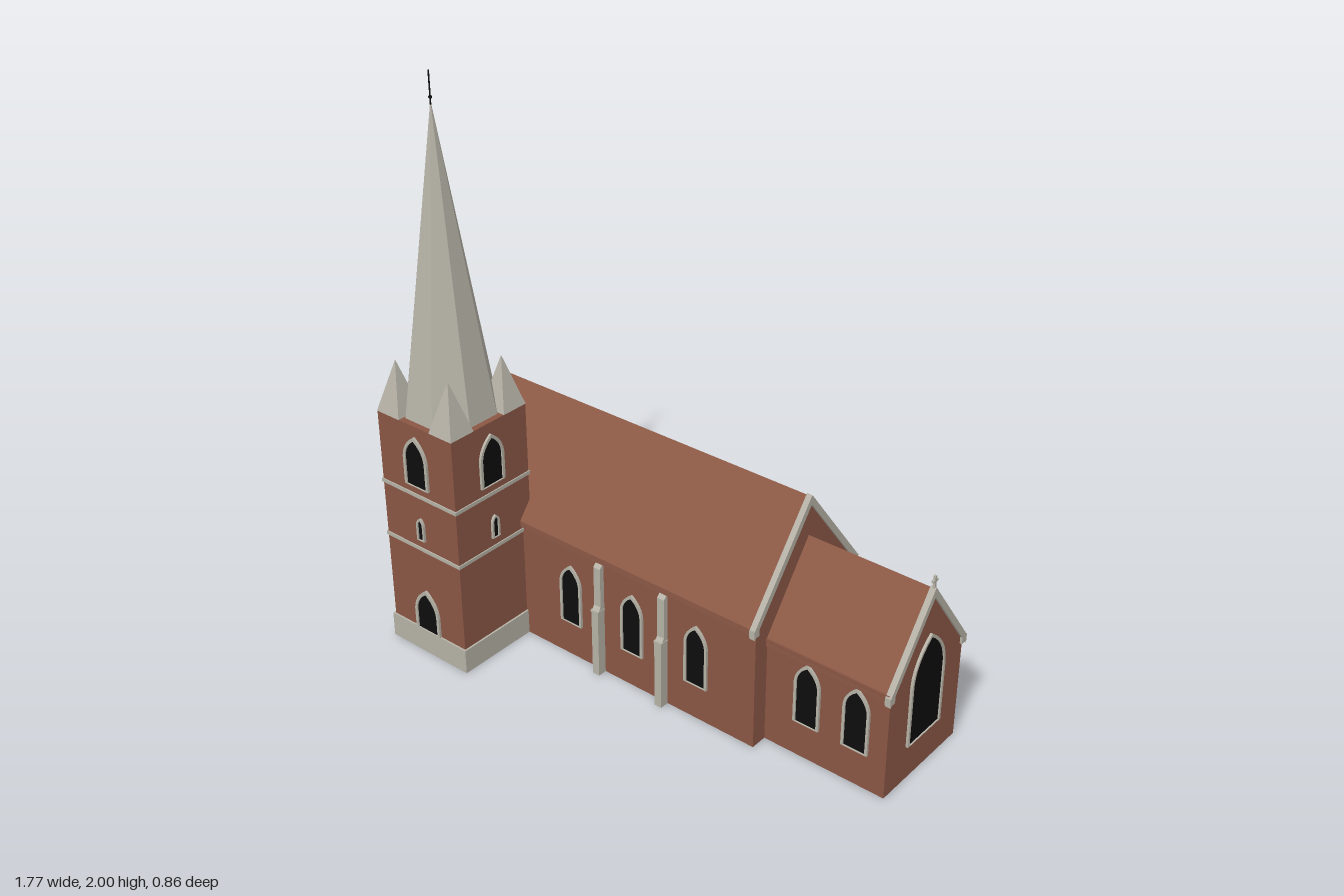
import * as THREE from 'three';

const paint = (name, color) => {
  const m = new THREE.MeshStandardMaterial({ color });
  m.name = name;
  return m;
};

export function createModel() {
  const brick = paint('brick', 0x8a5644);
  const tile = paint('roof tile', 0x8b5946);
  const stone = paint('pale stone', 0xb5b1a6);
  const glass = paint('dark opening', 0x0d0d0d);

  const church = new THREE.Group();
  church.name = 'church';
  const AXIS = -0.135; // z of the ridge line

  function add(name, geo, mat, x = 0, y = 0, z = 0, parent = church) {
    const m = new THREE.Mesh(geo, mat);
    m.name = name;
    m.position.set(x, y, z);
    parent.add(m);
    return m;
  }
  const box = (w, h, d) => new THREE.BoxGeometry(w, h, d);
  const flat = (geo) => {
    const g = geo.toNonIndexed();
    g.computeVertexNormals();
    return g;
  };
  const extrude = (shape, depth) =>
    new THREE.ExtrudeGeometry(shape, { depth, bevelEnabled: false, curveSegments: 6 });
  const polygon = (pts) => new THREE.Shape(pts.map((p) => new THREE.Vector2(...p)));
  // extrude a (z, y) cross-section from x0 to x1
  const alongX = (pts, x0, x1) =>
    extrude(polygon(pts), x1 - x0).rotateY(Math.PI / 2).translate(x0, 0, AXIS);

  // pointed arch outline standing on y = base
  function arch(w, h, base = 0) {
    const spring = Math.max(h - w * 1.6, h * 0.35);
    const s = new THREE.Shape();
    s.moveTo(-w, base);
    s.lineTo(w, base);
    s.lineTo(w, spring);
    s.quadraticCurveTo(w * 0.92, spring + (h - spring) * 0.6, 0, h);
    s.quadraticCurveTo(-w * 0.92, spring + (h - spring) * 0.6, -w, spring);
    return s;
  }

  // arched opening with stone surround, facing +z before turning
  function opening(name, w, h, x, y, z, turn, rim = 0.009) {
    const g = new THREE.Group();
    g.name = name;
    const ring = arch(w, h);
    ring.holes.push(arch(w - rim, h - rim * 1.4, 0.002));
    add('surround', extrude(ring, 0.009), stone, 0, 0, 0, g);
    add('pane', extrude(arch(w - rim, h - rim * 1.4, 0.002), 0.004), glass, 0, 0, 0, g);
    g.position.set(x, y, z);
    g.rotation.y = turn;
    church.add(g);
  }

  // gabled block: brick walls and a thin pitched roof
  function hall(name, x0, x1, wall, eave, half, ridge) {
    const slope = (ridge - eave) / half;
    const t = 0.022;
    const top = ridge - t - slope * wall;
    add(name + 'Walls', alongX([[-wall, 0], [wall, 0], [wall, top], [0, ridge - t], [-wall, top]], x0, x1), brick);
    const chevron = (r, hw, thick) => [
      [-hw, r - slope * hw], [-hw, r - slope * hw - thick], [0, r - thick],
      [hw, r - slope * hw - thick], [hw, r - slope * hw], [0, r],
    ];
    add(name + 'Roof', alongX(chevron(ridge, half, t), x0 + 0.004, x1 - 0.004), tile);
    // stone gable coping with kneelers at its feet
    return (cx) => {
      add(name + 'Coping', alongX(chevron(ridge + 0.006, half + 0.003, 0.034), cx - 0.01, cx + 0.01), stone);
      for (const s of [-1, 1])
        add(name + 'Kneeler', box(0.02, 0.026, 0.026), stone, cx, eave - 0.012, AXIS + s * (half - 0.007));
    };
  }

  // nave and chancel
  const naveCoping = hall('nave', -0.865, 0.425, 0.26, 0.455, 0.272, 0.805);
  naveCoping(-0.862);
  naveCoping(0.422);
  const chancelCoping = hall('chancel', 0.42, 0.875, 0.2, 0.385, 0.207, 0.665);
  chancelCoping(0.873);

  // eaves courses
  for (const s of [-1, 1]) {
    add('naveEaves', box(1.285, 0.016, 0.014), brick, -0.22, 0.447, AXIS + s * 0.263);
    add('chancelEaves', box(0.45, 0.014, 0.012), brick, 0.65, 0.385, AXIS + s * 0.202);
  }

  // gable cross
  add('crossShaft', box(0.008, 0.05, 0.008), stone, 0.875, 0.685, AXIS);
  add('crossArm', box(0.008, 0.008, 0.026), stone, 0.875, 0.693, AXIS);

  // side windows and buttresses, front and back
  const buttressShape = polygon([[-0.002, 0], [0.033, 0], [0.033, 0.25], [0.018, 0.268], [0.018, 0.415], [-0.002, 0.436]]);
  for (const s of [1, -1]) {
    const turn = s > 0 ? 0 : Math.PI;
    const naveX = s > 0 ? [-0.335, -0.07, 0.195] : [-0.6, -0.335, -0.07, 0.195];
    for (const x of naveX) opening('naveWindow', 0.046, 0.23, x, 0.133, AXIS + s * 0.26, turn);
    for (const x of [0.583, 0.763]) opening('chancelWindow', 0.048, 0.23, x, 0.133, AXIS + s * 0.2, turn);
    for (const x of s > 0 ? [-0.205, 0.063] : [-0.47, -0.205, 0.063]) {
      const geo = extrude(buttressShape, 0.028).translate(0, 0, -0.014).rotateY(-s * Math.PI / 2);
      add('buttress', geo, stone, x, 0, AXIS + s * 0.26);
      add('buttressLedge', box(0.032, 0.008, 0.036), stone, x, 0.252, AXIS + s * 0.277);
    }
  }
  opening('eastWindow', 0.092, 0.375, 0.875, 0.13, AXIS, Math.PI / 2);
  opening('westWindow', 0.062, 0.33, -0.865, 0.125, AXIS, -Math.PI / 2);

  // tower
  const TX = -0.715, TZ = 0.255, R = 0.167;
  add('towerWalls', box(R * 2, 0.88, R * 2), brick, TX, 0.44, TZ);
  add('towerPlinth', box(0.348, 0.09, 0.348), stone, TX, 0.045, TZ);
  for (const y of [0.417, 0.622])
    add('stringCourse', box(0.342, 0.013, 0.342), stone, TX, y, TZ);
  for (let i = 0; i < 4; i++) {
    const a = (i * Math.PI) / 2;
    const x = TX + Math.sin(a) * R, z = TZ + Math.cos(a) * R;
    opening('belfryOpening', 0.053, 0.185, x, 0.658, z, a, 0.01);
    opening('towerSlit', 0.017, 0.085, x, 0.455, z, a, 0.007);
    if (i === 0 || i === 3) opening('towerDoor', 0.056, 0.165, x, 0.09, z, a, 0.011);
  }

  // octagonal spire, corner pinnacles and finial
  const spire = flat(new THREE.ConeGeometry(0.157, 1.03, 8).rotateY(Math.PI / 8));
  add('spire', spire, stone, TX, 1.395, TZ);
  const pinnacle = flat(new THREE.ConeGeometry(0.05 * Math.SQRT2, 0.18, 4).rotateY(Math.PI / 4));
  for (const sx of [-1, 1])
    for (const sz of [-1, 1])
      add('pinnacle', pinnacle, stone, TX + sx * 0.118, 0.97, TZ + sz * 0.118);
  add('finialRod', new THREE.CylinderGeometry(0.0025, 0.0025, 0.11, 6), glass, TX, 1.945, TZ);
  add('finialKnob', new THREE.SphereGeometry(0.006, 8, 6), glass, TX, 1.918, TZ);

  return church;
}
